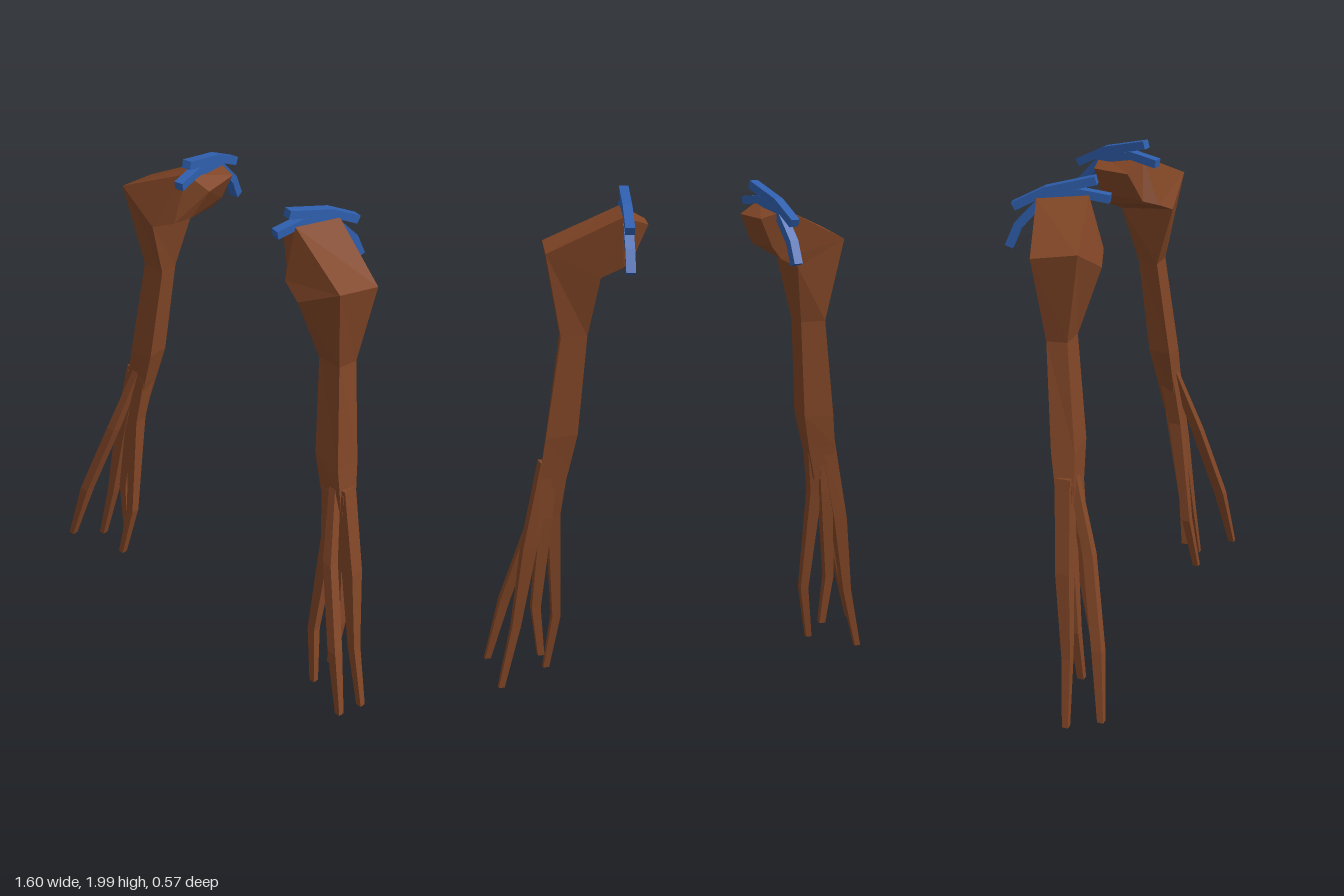
import * as THREE from 'three';

const V = (p) => new THREE.Vector3(...p);

// Skins a row of four-cornered sections, with both ends capped.
// side = 1 builds the left (+x) part, side = -1 its mirror image.
function loft(sections, side) {
  const rows = sections.map((s) => {
    const q = s.map(([x, y, z]) => [x * side, y, z]);
    return side > 0 ? q : q.reverse();
  });
  const pos = [];
  const quad = (a, b, c, d) => pos.push(...a, ...b, ...c, ...a, ...c, ...d);
  for (let i = 0; i < rows.length - 1; i++) {
    for (let k = 0; k < 4; k++) {
      const n = (k + 1) % 4;
      quad(rows[i][k], rows[i + 1][k], rows[i + 1][n], rows[i][n]);
    }
  }
  const end = rows[rows.length - 1];
  quad(...rows[0]);
  quad(end[3], end[2], end[1], end[0]);
  const g = new THREE.BufferGeometry();
  g.setAttribute('position', new THREE.Float32BufferAttribute(pos, 3));
  g.computeVertexNormals();
  return g;
}

// Level rectangular sections down a finger: [x, y, z, width].
const fingerSections = (path) => path.map(([x, y, z, w]) => {
  const h = w / 2;
  return [[x - h, y, z + h], [x + h, y, z + h], [x + h, y, z - h], [x - h, y, z - h]];
});

// Strap sections along a [z, y] path lying in one slanted upright plane.
function strapSections(path) {
  const across = V([0.98, 0, 0.2]).normalize();
  const pts = path.map(([z, y]) => V([0.25 + (0.09 - z) * 0.2, y, z]));
  return pts.map((p, i) => {
    const dir = pts[Math.min(i + 1, pts.length - 1)].clone()
      .sub(pts[Math.max(i - 1, 0)]).normalize();
    const up = dir.clone().cross(across).negate();
    return [[-1, -1], [1, -1], [1, 1], [-1, 1]].map(([a, b]) =>
      p.clone().addScaledVector(across, a * 0.018).addScaledVector(up, b * 0.016).toArray());
  });
}

// Corners: lower/inner front, upper/outer front, upper/outer back, lower/inner back
const ARM = [
  [[0.25, 1.76, 0.04], [0.19, 1.88, 0], [0.22, 1.88, -0.15], [0.27, 1.77, -0.14]],
  [[0.29, 1.74, 0.09], [0.28, 1.93, 0.03], [0.32, 1.91, -0.16], [0.31, 1.72, -0.13]],
  [[0.38, 1.70, 0.118], [0.565, 1.80, 0.10], [0.592, 1.775, -0.07], [0.39, 1.68, -0.10]],
  [[0.42, 1.45, 0.04], [0.52, 1.45, 0.04], [0.532, 1.45, -0.037], [0.43, 1.45, -0.04]],
  [[0.455, 1.06, 0.085], [0.57, 1.04, 0.085], [0.59, 1.05, 0], [0.465, 1.06, -0.005]],
  [[0.49, 0.92, 0.09], [0.59, 0.92, 0.09], [0.607, 0.92, 0.02], [0.495, 0.92, 0.02]],
  [[0.525, 0.78, 0.085], [0.6, 0.78, 0.085], [0.61, 0.78, 0.04], [0.53, 0.78, 0.04]],
];

const FINGERS = [
  [[0.545, 0.96, 0.07, 0.03], [0.615, 0.67, 0.16, 0.04], [0.72, 0.34, 0.235, 0.04], [0.788, 0.08, 0.273, 0.024]],
  [[0.575, 0.95, 0.05, 0.06], [0.65, 0.60, 0.075, 0.055], [0.703, 0.27, 0.105, 0.035], [0.765, 0.01, 0.122, 0.024]],
  [[0.525, 0.93, 0.06, 0.06], [0.548, 0.72, 0.09, 0.05], [0.53, 0.28, 0.15, 0.034], [0.568, 0.05, 0.183, 0.024]],
  [[0.57, 0.93, 0.055, 0.06], [0.585, 0.72, 0.065, 0.05], [0.622, 0.34, 0.105, 0.036], [0.602, 0.13, 0.12, 0.026]],
];

const STRAPS = [
  [[0.05, 1.985], [-0.13, 1.937], [-0.25, 1.873]],
  [[0.10, 1.918], [-0.01, 1.935], [-0.14, 1.905], [-0.235, 1.80], [-0.268, 1.72]],
];

export function createModel() {
  const skin = new THREE.MeshStandardMaterial({ color: 0x804526 });
  skin.name = 'brown skin';
  const cloth = new THREE.MeshStandardMaterial({ color: 0x2f5fae });
  cloth.name = 'blue strap';

  const model = new THREE.Group();
  model.name = 'armPair';
  for (const side of [1, -1]) {
    const arm = new THREE.Group();
    arm.name = side > 0 ? 'leftArm' : 'rightArm';
    const add = (name, sections, material) => {
      const mesh = new THREE.Mesh(loft(sections, side), material);
      mesh.name = name;
      arm.add(mesh);
    };
    add('shoulderAndForearm', ARM, skin);
    FINGERS.forEach((f, i) => add(`finger${i + 1}`, fingerSections(f), skin));
    STRAPS.forEach((s, i) => add(`shoulderStrap${i + 1}`, strapSections(s), cloth));
    model.add(arm);
  }
  return model;
}
